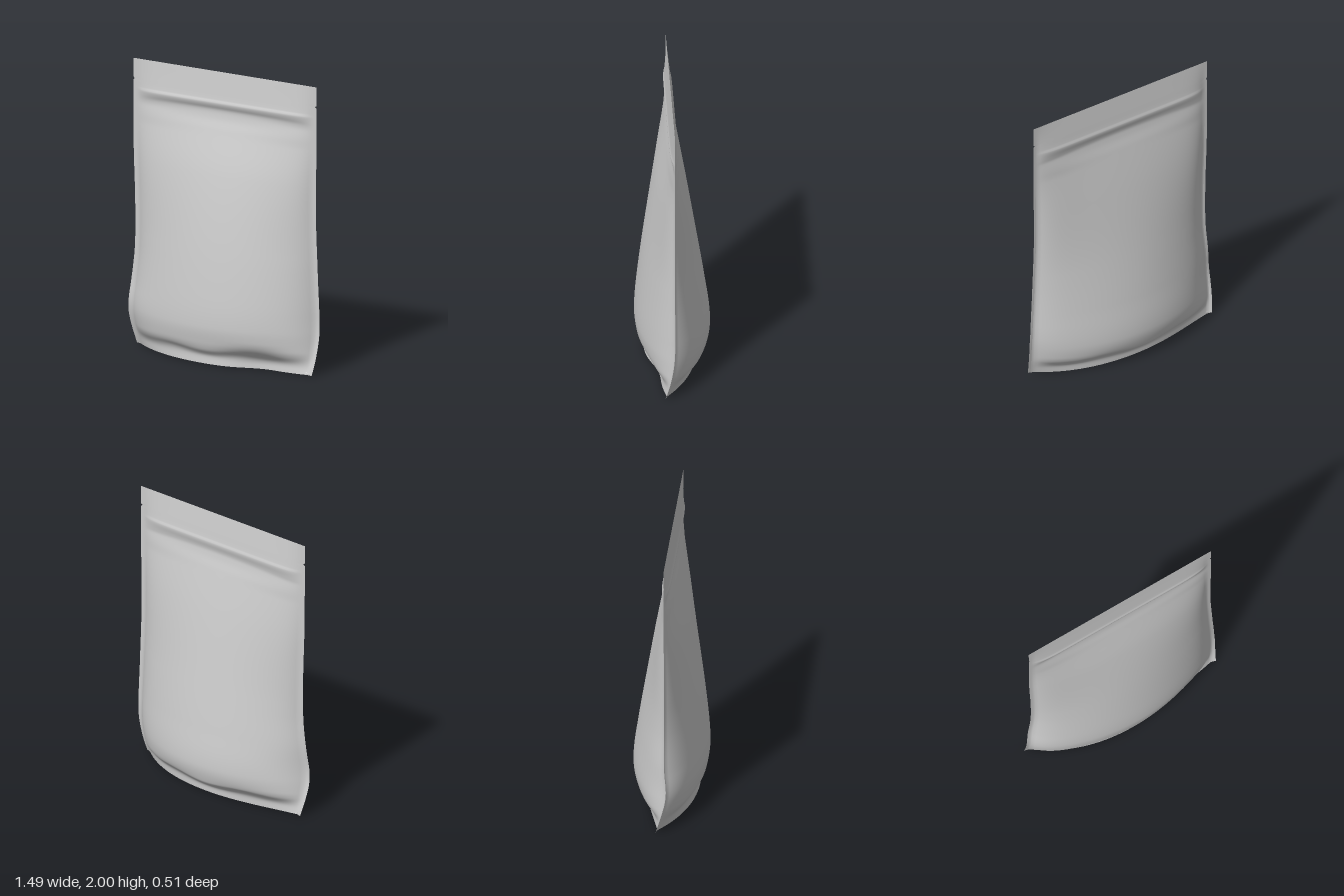
import * as THREE from 'three';

// Profiles as [height, value] pairs
const FRONT = [[0, 0.195], [0.06, 0.192], [0.085, 0.2], [0.12, 0.226], [0.17, 0.243], [0.28, 0.256], [0.5, 0.24], [0.9, 0.188],
  [1.3, 0.118], [1.6, 0.046], [1.69, 0.023], [1.73, 0.022], [1.76, 0.034], [1.78, 0.04], [1.79, 0.04], [1.8, 0.035], [1.87, 0.026], [2, 0.012]];
const BACK = [[0, -0.16], [0.055, -0.166], [0.085, -0.19], [0.12, -0.23], [0.24, -0.253], [0.5, -0.222], [0.9, -0.158],
  [1.3, -0.09], [1.6, -0.03], [1.7, -0.006], [1.73, -0.008], [1.77, -0.017], [1.79, -0.018], [1.8, -0.013], [1.87, -0.004], [2, 0.012]];
const HALF_LEFT = [[0, 0.715], [0.12, 0.73], [0.3, 0.741], [0.7, 0.725], [1.1, 0.711], [1.6, 0.715], [2, 0.715]];
const HALF_RIGHT = [[0, 0.718], [0.12, 0.738], [0.25, 0.746], [0.45, 0.728], [0.7, 0.702], [1, 0.7], [1.4, 0.712], [2, 0.715]];
const MID = 0.012; // depth of the sealed plane
const COLS = 80;
const ROWS = 200;

const step = THREE.MathUtils.smoothstep;
const bell = (x, centre, width) => Math.exp(-(((x - centre) / width) ** 2));

// Smooth (Hermite) lookup through a profile
function lookup(p, y) {
  const n = p.length - 1;
  let i = 0;
  while (i < n - 1 && y > p[i + 1][0]) i++;
  const slope = (j) => {
    const a = p[Math.max(j - 1, 0)], b = p[Math.min(j + 1, n)];
    return (b[1] - a[1]) / (b[0] - a[0]);
  };
  const h = p[i + 1][0] - p[i][0];
  const t = THREE.MathUtils.clamp((y - p[i][0]) / h, 0, 1);
  const t2 = t * t, t3 = t2 * t;
  return (2 * t3 - 3 * t2 + 1) * p[i][1] + (t3 - 2 * t2 + t) * h * slope(i)
    + (3 * t2 - 2 * t3) * p[i + 1][1] + (t3 - t2) * h * slope(i + 1);
}

// Point on a panel: u runs -1..1 across, y up
function panelPoint(profile, u, y) {
  const a = Math.abs(u);
  const t = Math.min(1, a / 0.955); // flat side seal beyond this
  // wavy creases above the foot and below the zip
  const wave = bell(y, 0.1, 0.05) * 0.008 * Math.sin(u * 8 - 1.2)
    + bell(y, 1.715, 0.035) * (0.025 * (1 - u * u) - 0.015);
  const depth = lookup(profile, THREE.MathUtils.clamp(y - wave, 0, 2));
  // lens section at the foot, fuller up the body, flat at the zip
  const full = 0.2 * step(y, 0.04, 0.15) + 0.25 * step(y, 0.8, 1.6) + 0.55 * step(y, 1.55, 1.74);
  const bulge = THREE.MathUtils.lerp(1 - t * t, 1 - t ** 10, full);
  // foot of the front pushed in towards its left
  const dent = profile === FRONT ? 0.045 * bell(u, 0.5, 0.25) * (1 - step(y, 0.03, 0.2)) * (1 - t ** 4) : 0;
  // bottom corners curl: left forward, right backward with a forward bow above
  const low = Math.max(0, 1 - y / 0.4) ** 2;
  const curl = a ** 4 * (u > 0 ? 0.065 * low : 0.02 * bell(y, 0.28, 0.15) - 0.055 * low);
  // tear notches
  const notch = Math.abs(y - 1.86) < 0.004 ? 0.012 : 0;
  const half = lookup(u > 0 ? HALF_LEFT : HALF_RIGHT, y) - notch * a ** 30;
  const lift = 0.008 * (1 - u * u) * Math.max(0, 1 - y / 0.08);
  return [u * half, y + lift, MID + curl + (depth - MID) * bulge - dent];
}

// Grid surface from a point rule of (u, v), each 0..1
function surface(name, cols, rows, rule, flip) {
  const pos = [], idx = [];
  for (let r = 0; r <= rows; r++)
    for (let c = 0; c <= cols; c++) pos.push(...rule(c / cols, r / rows));
  for (let r = 0; r < rows; r++)
    for (let c = 0; c < cols; c++) {
      const a = r * (cols + 1) + c, b = a + 1, d = a + cols + 1, e = d + 1;
      if (flip) idx.push(a, d, b, b, d, e);
      else idx.push(a, b, d, b, e, d);
    }
  const geo = new THREE.BufferGeometry();
  geo.setAttribute('position', new THREE.Float32BufferAttribute(pos, 3));
  geo.setIndex(idx);
  geo.computeVertexNormals();
  const mesh = new THREE.Mesh(geo, new THREE.MeshStandardMaterial({ color: 0xcccccc, side: THREE.DoubleSide }));
  mesh.name = name;
  return mesh;
}

export function createModel() {
  const group = new THREE.Group();
  group.name = 'standUpPouch';

  // Front and back film, from foot to zip header
  group.add(surface('frontPanel', COLS, ROWS, (u, v) => panelPoint(FRONT, u * 2 - 1, v * 2), false));
  group.add(surface('backPanel', COLS, ROWS, (u, v) => panelPoint(BACK, u * 2 - 1, v * 2), true));

  // Hollow gusset pushed up between the bottom edges: steep rims, flatter middle
  group.add(surface('bottomGusset', COLS, 32, (u, v) => {
    const s = u * 2 - 1, w = v * 2 - 1;
    const b = panelPoint(BACK, s, 0), f = panelPoint(FRONT, s, 0);
    const rise = 0.13 * (1 - s * s) * (1 - w ** 4);
    return [b[0], b[1] + rise, THREE.MathUtils.lerp(b[2], f[2], v)];
  }, false));

  return group;
}
